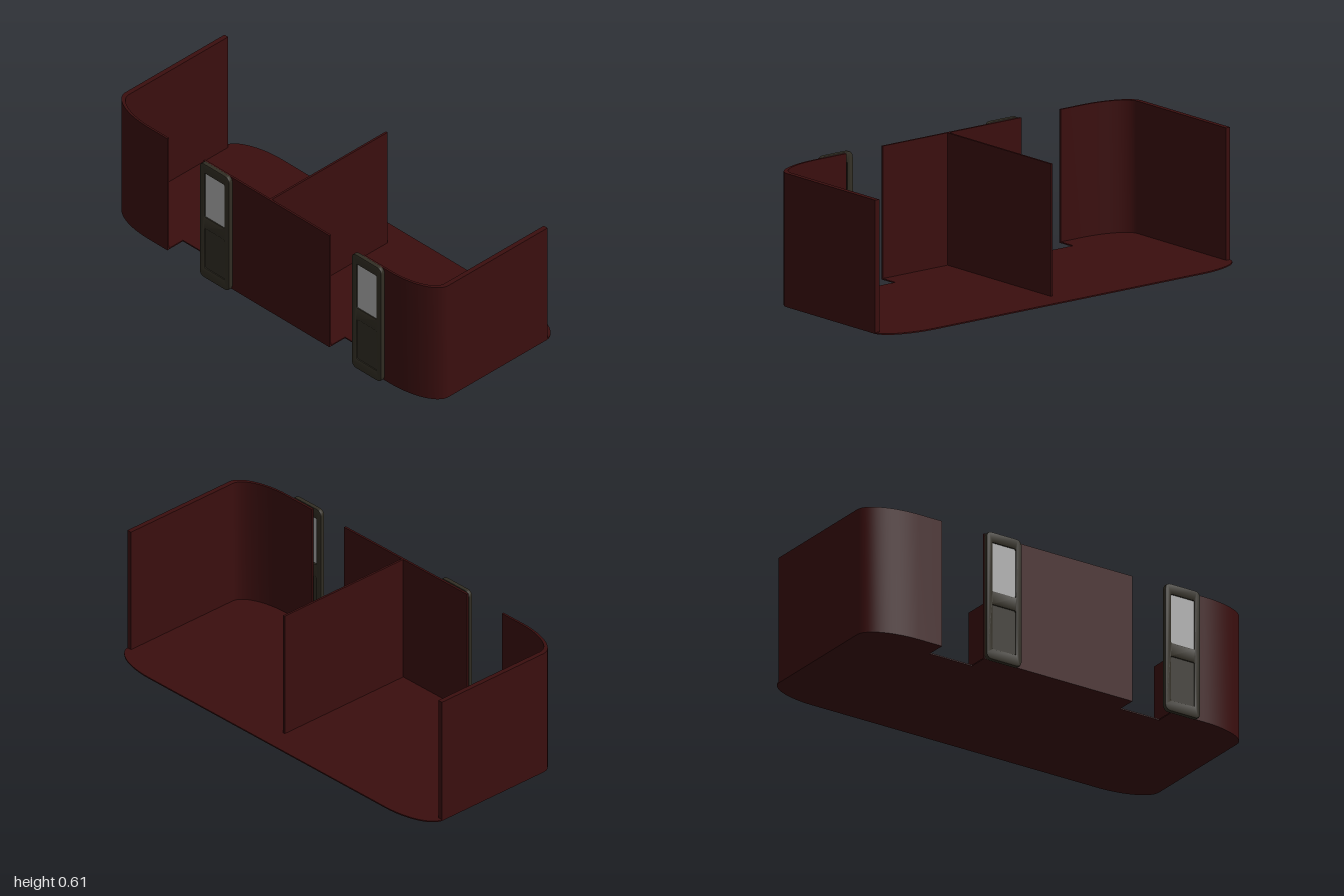
import * as THREE from 'three';
import { toCreasedNormals } from 'three/addons/utils/BufferGeometryUtils.js';

const RX = 0.11, RZ = 0.25;            // corner radii in plan
const LEFT = -0.4, RIGHT = 0.42, WALL_END = 0.315;
const FLOOR_Y = 0.005, WALL_TOP = 0.605;

function material(name, color) {
  const m = new THREE.MeshStandardMaterial({ color });
  m.name = name;
  return m;
}

// Plan outline of [x, z] points extruded upward from y0 to y1
function extrudePlan(points, y0, y1) {
  const shape = new THREE.Shape(points.map(([x, z]) => new THREE.Vector2(x, -z)));
  const geo = new THREE.ExtrudeGeometry(shape, { depth: y1 - y0, bevelEnabled: false });
  geo.rotateX(-Math.PI / 2);
  geo.translate(0, y0, 0);
  return toCreasedNormals(geo, 0.5);
}

// Elliptical arc in plan from angle a to b
function arc(cx, cz, rx, rz, a, b, n = 14) {
  return Array.from({ length: n + 1 }, (_, i) => {
    const t = a + ((b - a) * i) / n;
    return [cx + rx * Math.cos(t), cz + rz * Math.sin(t)];
  });
}

// Rounded rectangle centred on (cx, cy)
function roundedRect(path, cx, cy, w, h, r) {
  const x0 = cx - w / 2, x1 = cx + w / 2, y0 = cy - h / 2, y1 = cy + h / 2;
  path.moveTo(x0 + r, y0);
  path.lineTo(x1 - r, y0).quadraticCurveTo(x1, y0, x1, y0 + r);
  path.lineTo(x1, y1 - r).quadraticCurveTo(x1, y1, x1 - r, y1);
  path.lineTo(x0 + r, y1).quadraticCurveTo(x0, y1, x0, y1 - r);
  path.lineTo(x0, y0 + r).quadraticCurveTo(x0, y0, x0 + r, y0);
  return path;
}

export function createModel() {
  const group = new THREE.Group();
  const red = material('dark red', 0x3a0e0e);
  const frame = material('dark olive', 0x312d23);
  const glass = material('grey glass', 0xaeaeae);

  const add = (name, geo, mat, parent = group) => {
    const mesh = new THREE.Mesh(geo, mat);
    mesh.name = name;
    parent.add(mesh);
    return mesh;
  };

  // Floor with rounded corners and a step notch at each doorway
  const H = Math.PI / 2, cl = LEFT + RX, cr = RIGHT - RX, cz = 1 - RZ, notch = -0.305;
  add('floor', extrudePlan([
    ...arc(cr, cz, RX, RZ, 0, H),
    ...arc(cl, cz, RX, RZ, H, 2 * H),
    [LEFT, 0.58], [notch, 0.58], [notch, 0.375], [LEFT, 0.375],
    [LEFT, -0.405], [notch, -0.405], [notch, -0.628], [LEFT, -0.628],
    ...arc(cl, -cz, RX, RZ, 2 * H, 3 * H),
    ...arc(cr, -cz, RX, RZ, 3 * H, 4 * H),
  ], FLOOR_Y, 0.011), red);

  // End walls wrapping round the corner to a doorway
  const tx = 0.01, tz = 0.023;
  for (const [name, s, doorZ] of [['frontWall', 1, 0.58], ['backWall', -1, 0.628]]) {
    const outline = [
      [WALL_END, 1],
      ...arc(cl, cz, RX, RZ, H, 2 * H),
      [LEFT, doorZ], [LEFT + tx, doorZ],
      ...arc(cl, cz, RX - tx, RZ - tz, 2 * H, H),
      [WALL_END, 1 - tz],
    ].map(([x, z]) => [x, s * z]);
    add(name, extrudePlan(outline, FLOOR_Y, WALL_TOP), red);
  }

  // Side wall between the doorways, and the cross partition
  const h = WALL_TOP - FLOOR_Y, midY = (WALL_TOP + FLOOR_Y) / 2;
  add('sideWall', new THREE.BoxGeometry(tx, h, 0.78), red)
    .position.set(LEFT + tx / 2, midY, -0.015);
  add('partition', new THREE.BoxGeometry(WALL_END - LEFT - tx, h, 0.01), red)
    .position.set((WALL_END + LEFT + tx) / 2, midY, 0.005);

  // Sliding doors parked outside the wall: frame, window and lower panel
  for (const [name, z] of [['frontDoor', 0.626], ['backDoor', -0.315]]) {
    const door = new THREE.Group();
    door.name = name;
    door.position.set(LEFT, 0, z);
    group.add(door);

    const b = 0.004;
    const shape = roundedRect(new THREE.Shape(), 0, 0.305, 0.184 - 2 * b, 0.61 - 2 * b, 0.026);
    shape.holes.push(
      roundedRect(new THREE.Path(), 0, 0.444, 0.122 + 2 * b, 0.232 + 2 * b, 0.01),
      roundedRect(new THREE.Path(), 0, 0.158, 0.122 + 2 * b, 0.21 + 2 * b, 0.01));
    const geo = new THREE.ExtrudeGeometry(shape, {
      depth: 0.022 - 2 * b, bevelThickness: b, bevelSize: b, bevelSegments: 2, curveSegments: 5,
    });
    geo.translate(0, 0, b);
    geo.rotateY(-Math.PI / 2);
    add('doorFrame', toCreasedNormals(geo, 0.6), frame, door);

    add('doorWindow', new THREE.BoxGeometry(0.008, 0.24, 0.13), glass, door)
      .position.set(-0.013, 0.444, 0);
    add('doorPanel', new THREE.BoxGeometry(0.012, 0.218, 0.13), frame, door)
      .position.set(-0.011, 0.158, 0);
  }
  return group;
}
